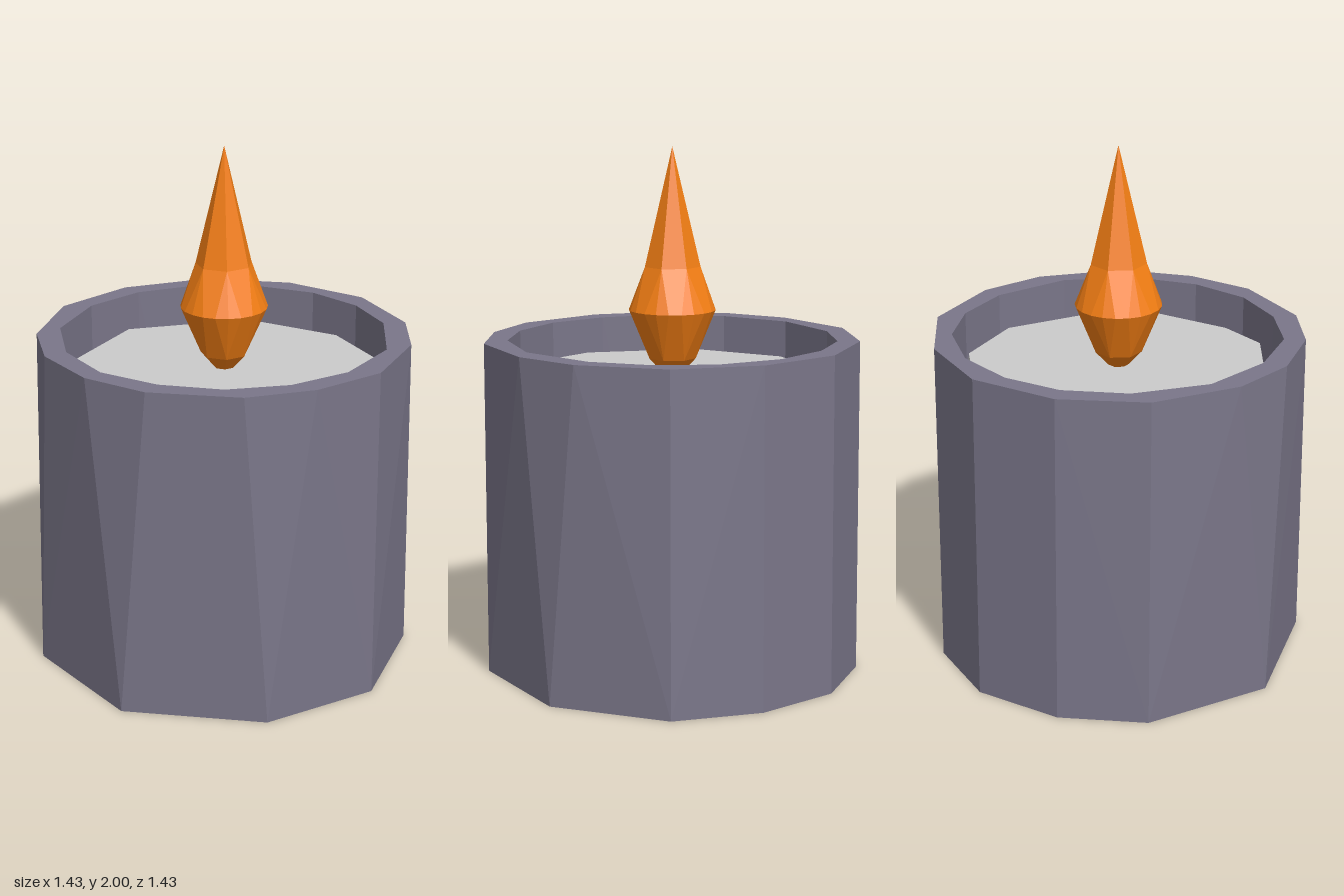
import * as THREE from 'three';

const TAU = Math.PI * 2;

// ring of [x, z] corners at a height, listed clockwise from the back as seen from above
const ring = (y, points, s = 1) => points.map(([x, z]) => [x * s, y, z * s]);

// regular ring with a corner facing front (odd side counts)
const regular = (y, r, n) => Array.from({ length: n }, (_, i) => {
  const a = (i + 0.5) / n * TAU;
  return [r * Math.sin(a), y, -r * Math.cos(a)];
});

// unwrapped angle of corner i, continuing past a full turn
function angle(points, i) {
  const n = points.length, k = i % n;
  let a = Math.atan2(points[k][0], -points[k][2]);
  if (k > 0 && a < 0) a += TAU;
  return a + (i >= n ? TAU : 0);
}

// stitches consecutive rings, even when their corner counts differ
function loft(rings) {
  const pos = [];
  for (let r = 0; r + 1 < rings.length; r++) {
    const A = rings[r], B = rings[r + 1];
    const endA = A.length > 1 ? A.length : 0, endB = B.length > 1 ? B.length : 0;
    const mid = (P, i, end) => i < end ? angle(P, i) + angle(P, i + 1) : Infinity;
    let i = 0, j = 0;
    while (i < endA || j < endB) {
      const a = A[i % A.length], b = B[j % B.length];
      if (mid(A, i, endA) < mid(B, j, endB)) pos.push(...a, ...b, ...A[++i % A.length]);
      else pos.push(...a, ...b, ...B[++j % B.length]);
    }
  }
  const g = new THREE.BufferGeometry();
  g.setAttribute('position', new THREE.Float32BufferAttribute(pos, 3));
  g.computeVertexNormals();
  return g;
}

export function createModel() {
  const group = new THREE.Group();
  const add = (name, color, rings) => {
    const mesh = new THREE.Mesh(loft(rings),
      new THREE.MeshStandardMaterial({ color, flatShading: true }));
    mesh.name = name;
    group.add(mesh);
  };

  // uneven hand-cut outlines
  const base = [[0, -0.72], [0.33, -0.63], [0.6, -0.41], [0.715, 0.05], [0.51, 0.505],
    [0.09, 0.71], [-0.44, 0.57], [-0.72, 0.09], [-0.6, -0.41], [-0.34, -0.63]];
  const rim = [[0, -0.715], [0.33, -0.625], [0.59, -0.4], [0.705, -0.065], [0.68, 0.2],
    [0.515, 0.5], [0.265, 0.655], [0, 0.71], [-0.34, 0.62], [-0.545, 0.45], [-0.68, 0.2],
    [-0.705, -0.065], [-0.595, -0.4], [-0.34, -0.625]];
  const inner = [[-0.065, -0.62], [0.18, -0.6], [0.405, -0.48], [0.55, -0.295], [0.62, -0.065],
    [0.58, 0.245], [0.4, 0.48], [0.18, 0.595], [-0.06, 0.62], [-0.29, 0.545], [-0.485, 0.395],
    [-0.6, 0.16], [-0.615, -0.125], [-0.485, -0.395], [-0.29, -0.555]];
  const waxEdge = [[0.15, -0.575], [0.48, -0.34], [0.59, -0.045], [0.475, 0.36], [0.31, 0.505],
    [0, 0.585], [-0.21, 0.56], [-0.53, 0.26], [-0.57, -0.13], [-0.335, -0.495]];

  // cup: underside, outer wall, rim, inner wall, floor
  add('cup', 0x7a7689, [
    [[0, 0, 0]], ring(0, base), ring(1.275, rim), ring(1.275, inner),
    ring(0.06, inner), [[0, 0.06, 0]],
  ]);

  // wax: slightly flared body filling the cup
  add('wax', 0xcccccc, [
    [[0, 0.07, 0]], ring(0.07, inner, 0.995), ring(1.14, waxEdge), [[0, 1.14, 0]],
  ]);

  // flame: faceted drop with a fine belt at its widest point
  add('flame', 0xf57f14, [
    [[0, 1.14, 0]], regular(1.145, 0.04, 7), regular(1.2, 0.09, 7),
    regular(1.385, 0.165, 21), regular(1.55, 0.108, 7), [[0, 2, 0]],
  ]);

  return group;
}
